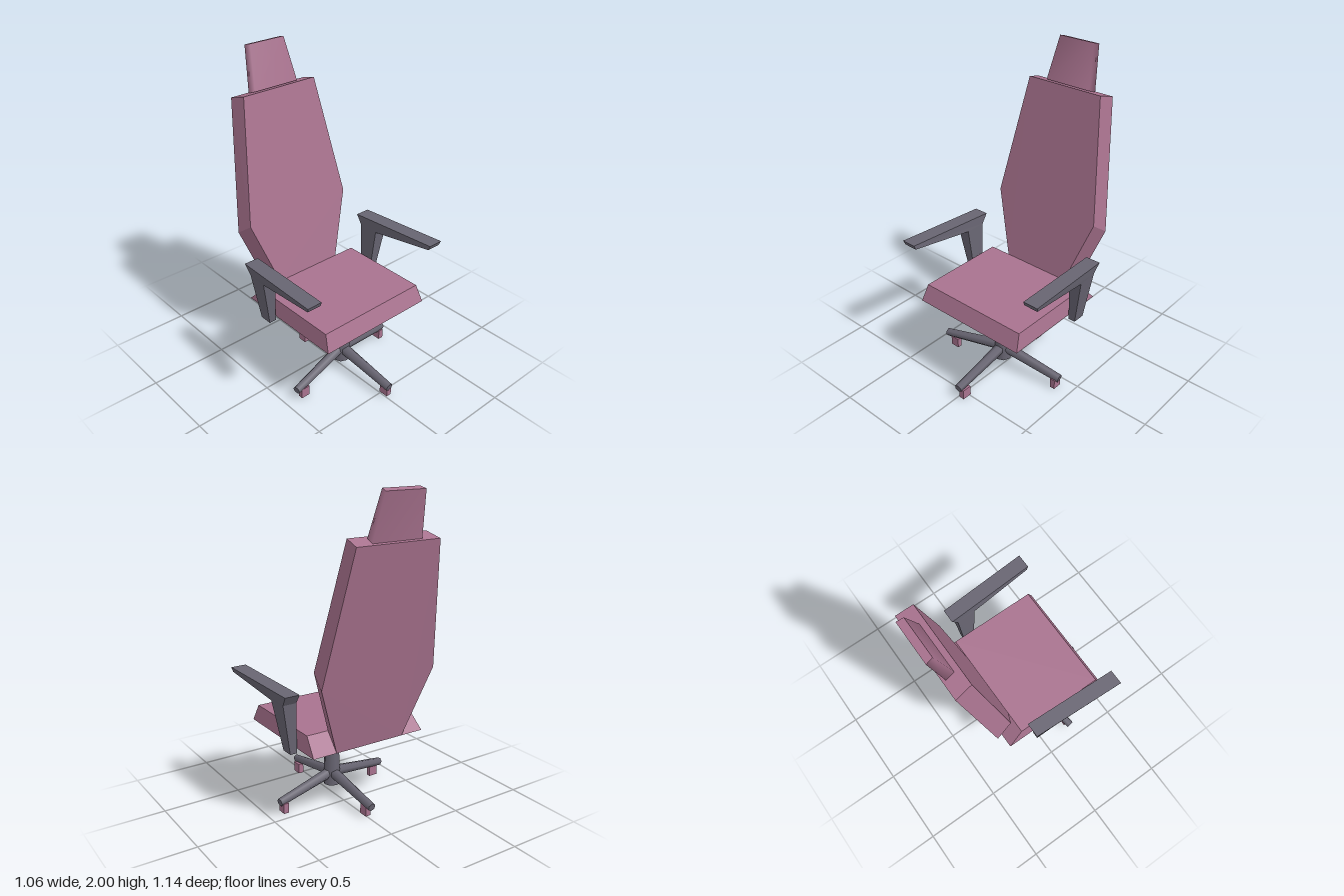
import * as THREE from 'three';

const rose = new THREE.MeshStandardMaterial({ color: 0xa9738f });
rose.name = 'rose upholstery';
const grey = new THREE.MeshStandardMaterial({ color: 0x686572 });
grey.name = 'dark grey frame';

// Solid between two matching convex rings, counter-clockwise seen from ring b
function prism(a, b, smoothSides = false) {
  const n = a.length;
  const build = (points, index) => {
    const g = new THREE.BufferGeometry();
    g.setAttribute('position', new THREE.Float32BufferAttribute(points.flat(), 3));
    g.setIndex(index);
    return g;
  };
  const sides = [], caps = [];
  for (let i = 0; i < n; i++) {
    const j = (i + 1) % n;
    sides.push(i, j, n + j, i, n + j, n + i);
    if (i > 0 && i < n - 1) caps.push(0, i + 1, i, n, n + i, n + i + 1);
  }
  const points = [...a, ...b];
  const list = smoothSides
    ? [build(points, sides), build(points, caps).toNonIndexed()]
    : [build(points, [...sides, ...caps]).toNonIndexed()];
  list.forEach((g) => g.computeVertexNormals());
  return list;
}

// Rectangle in a slanted or level plane, given its front and back edges
const rect = (wf, yf, zf, wb, yb, zb) =>
  [[-wf, yf, zf], [wf, yf, zf], [wb, yb, zb], [-wb, yb, zb]];

// Hexagon outline of the backrest: rows of [half width, y, z] from the bottom up
const hexagon = ([p, q, r]) => [
  [-p[0], p[1], p[2]], [p[0], p[1], p[2]], [q[0], q[1], q[2]],
  [r[0], r[1], r[2]], [-r[0], r[1], r[2]], [-q[0], q[1], q[2]],
];

// Tapered bar between two points
function bar(from, to, r0, r1, sides) {
  const a = new THREE.Vector3(...from), b = new THREE.Vector3(...to);
  const dir = b.clone().sub(a);
  const g = new THREE.CylinderGeometry(r1, r0, dir.length(), sides);
  g.applyQuaternion(new THREE.Quaternion().setFromUnitVectors(
    new THREE.Vector3(0, 1, 0), dir.normalize()));
  const c = a.add(b).multiplyScalar(0.5);
  return g.translate(c.x, c.y, c.z);
}

// Armrest: side profile extruded sideways, tapering to the foot and splayed to the front
function armrest(side) {
  const profile = [[-0.1, 0.465], [-0.02, 0.465], [0.01, 0.78], [0.44, 0.838],
    [0.45, 0.866], [-0.16, 0.846], [-0.12, 0.785]];
  const shape = new THREE.Shape(profile.map(([z, y]) => new THREE.Vector2(z, y)));
  const g = new THREE.ExtrudeGeometry(shape, { depth: 1, bevelEnabled: false });
  const p = g.attributes.position;
  for (let i = 0; i < p.count; i++) {
    const z = p.getX(i), y = p.getY(i), d = p.getZ(i);
    const t = (y - 0.465) / 0.4;
    const inner = 0.395 + 0.018 * t + 0.046 * z * t;
    const outer = inner + 0.045 + 0.052 * t;
    const x = side > 0 ? outer + (inner - outer) * d : -(inner + (outer - inner) * d);
    p.setXYZ(i, x, y, z);
  }
  g.computeVertexNormals();
  return g;
}

export function createModel() {
  const model = new THREE.Group();
  model.name = 'officeChair';
  const add = (name, geometry, material) => {
    const mesh = new THREE.Mesh(geometry, material);
    mesh.name = name;
    model.add(mesh);
  };

  // Upholstery
  prism(
    rect(0.39, 0.49, 0.455, 0.39, 0.49, -0.277),
    rect(0.372, 0.595, 0.413, 0.372, 0.595, -0.177),
  ).forEach((g) => add('seat', g, rose));
  prism(
    hexagon([[0.235, 0.49, -0.277], [0.39, 0.925, -0.367], [0.275, 1.715, -0.524]]),
    hexagon([[0.23, 0.595, -0.177], [0.373, 1.0, -0.262], [0.262, 1.745, -0.417]]),
  ).forEach((g) => add('backrest', g, rose));
  prism(
    rect(0.157, 1.74, -0.45, 0.163, 1.72, -0.505),
    rect(0.122, 2.0, -0.525, 0.13, 1.988, -0.568),
    true,
  ).forEach((g) => add('headrest', g, rose));

  // Armrests
  add('leftArmrest', armrest(1), grey);
  add('rightArmrest', armrest(-1), grey);

  // Pedestal
  add('column', bar([0, 0.07, 0.14], [0, 0.495, 0.14], 0.056, 0.042, 8), grey);

  // Four legs, each with a caster: tip, then caster centre x, z and size x, z
  const legs = [
    ['front', [0.012, 0.078, 0.565], [0.025, 0.52, 0.035, 0.062]],
    ['back', [-0.01, 0.075, -0.29], [-0.012, -0.22, 0.035, 0.06]],
    ['left', [0.418, 0.07, 0.082], [0.387, 0.085, 0.035, 0.06]],
    ['right', [-0.43, 0.078, 0.21], [-0.365, 0.203, 0.06, 0.03]],
  ];
  for (const [name, tip, [x, z, sx, sz]] of legs) {
    add(name + 'Leg', bar([0, 0.15, 0.14], tip, 0.035, 0.026, 6), grey);
    add(name + 'Caster', new THREE.BoxGeometry(sx, 0.065, sz).translate(x, 0.0325, z), rose);
  }
  return model;
}
